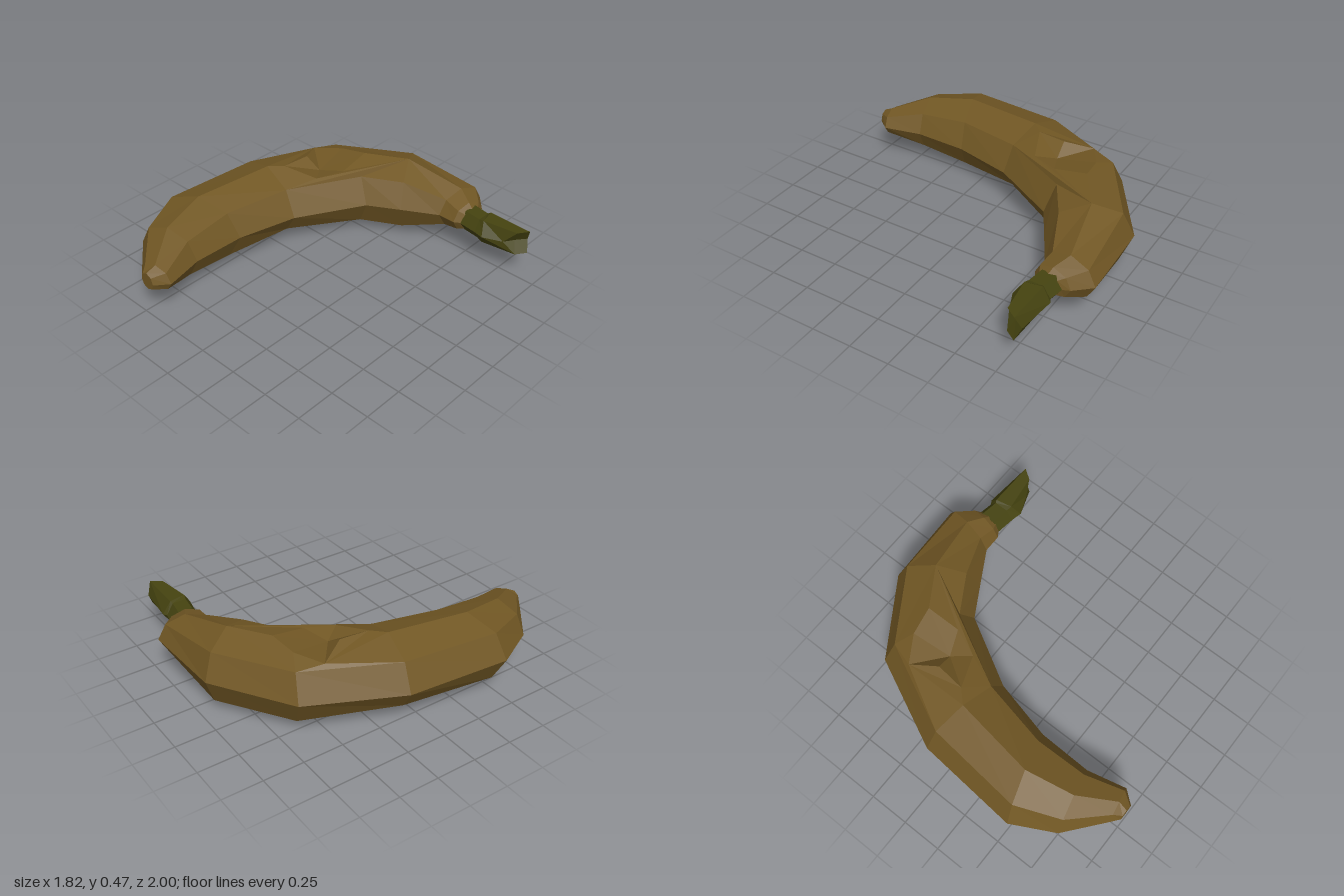
import * as THREE from 'three';

// Cross-section through an outer and an inner point of the bend.
// k = 0 is the outer point, then it runs over the top to the inner point and back below.
function ring(n, [ox, oz, ix, iz, top, bottom, shift = 0], mid = 0.24) {
  const points = [];
  const peak = n === 6 ? Math.sin(Math.PI / 3) : 1;
  for (let k = 0; k < n; k++) {
    const a = (k / n) * Math.PI * 2;
    const c = Math.cos(a), s = Math.sin(a) / peak;
    points.push(new THREE.Vector3(
      (ox + ix) / 2 + c * (ox - ix) / 2 + shift * Math.abs(s),
      mid + s * (s > 0 ? top - mid : mid - bottom),
      (oz + iz) / 2 + c * (oz - iz) / 2
    ));
  }
  return points;
}

// Skin between rings, with optional gaps, and a fan at each end.
function skin(rings, startTip, endTip, isGap = () => false) {
  const tris = [];
  const n = rings[0].length;
  for (let i = 0; i < rings.length - 1; i++) {
    for (let k = 0; k < n; k++) {
      if (isGap(i, k)) continue;
      const j = (k + 1) % n;
      const a = rings[i][k], b = rings[i + 1][k], c = rings[i + 1][j], d = rings[i][j];
      tris.push([a, d, c], [a, c, b]);
    }
  }
  const last = rings[rings.length - 1];
  for (let k = 0; k < n; k++) {
    const j = (k + 1) % n;
    tris.push([startTip, rings[0][j], rings[0][k]], [endTip, last[k], last[j]]);
  }
  return tris;
}

// Turn a triangle so that it faces up.
function facingUp([a, b, c]) {
  const ny = (b.z - a.z) * (c.x - a.x) - (b.x - a.x) * (c.z - a.z);
  return ny < 0 ? [a, c, b] : [a, b, c];
}

function meshOf(tris, material, name) {
  const geometry = new THREE.BufferGeometry().setFromPoints(tris.flat());
  geometry.computeVertexNormals();
  const mesh = new THREE.Mesh(geometry, material);
  mesh.name = name;
  return mesh;
}

export function createModel() {
  const peelMaterial = new THREE.MeshStandardMaterial({ color: 0x715724, flatShading: true });
  peelMaterial.name = 'brown peel';
  const stemMaterial = new THREE.MeshStandardMaterial({ color: 0x454310, flatShading: true });
  stemMaterial.name = 'dark green stem';

  // Curved fruit: outer x, outer z, inner x, inner z, top, bottom
  const body = [
    [-0.50, 1.00, -0.40, 1.00, 0.30, 0.19],
    [-0.55, 0.96, -0.335, 0.92, 0.33, 0.17],
    [-0.78, 0.77, -0.39, 0.68, 0.41, 0.075],
    [-0.915, 0.51, -0.38, 0.35, 0.455, 0.025],
    [-0.86, -0.13, -0.29, -0.02, 0.47, 0.06],
    [-0.60, -0.68, -0.06, -0.43, 0.47, 0.01],
    [-0.13, -0.98, 0.13, -0.54, 0.46, 0.0],
    [0.40, -1.00, 0.34, -0.66, 0.37, 0.115],
    [0.49, -0.90, 0.45, -0.66, 0.335, 0.15],
    [0.51, -0.85, 0.50, -0.69, 0.31, 0.17]
  ].map((r) => ring(8, r));
  const D = body[4], E = body[5], F = body[6];
  const v = (x, y, z) => new THREE.Vector3(x, y, z);
  const peel = skin(body, v(-0.45, 0.245, 1.0), v(0.505, 0.24, -0.77),
    (i, k) => (i === 4 || i === 5) && (k === 1 || k === 2));

  // Top patch around the bruise, then the sunken bruise itself
  const contour = [D[1], D[2], D[3], E[3], F[3], F[2], F[1], E[1]];
  const rim = [
    v(-0.57, 0.425, -0.49), v(-0.41, 0.445, -0.585), v(-0.24, 0.47, -0.61),
    v(-0.23, 0.435, -0.40), v(-0.30, 0.428, -0.23), v(-0.50, 0.47, -0.15),
    v(-0.48, 0.47, -0.33)
  ];
  const flat = (points) => points.map((p) => new THREE.Vector2(p.x, p.z));
  const all = [...contour, ...rim];
  for (const face of THREE.ShapeUtils.triangulateShape(flat(contour), [flat(rim)])) {
    peel.push(facingUp(face.map((i) => all[i])));
  }
  const floor = v(-0.38, 0.405, -0.34);
  const bruise = rim.map((p, i) => facingUp([floor, p, rim[(i + 1) % rim.length]]));

  // Stem with a narrow collar and a notched, slanted end
  const stem = [
    [0.49, -0.86, 0.49, -0.68, 0.31, 0.175],
    [0.605, -0.84, 0.605, -0.665, 0.31, 0.175],
    [0.63, -0.855, 0.67, -0.65, 0.32, 0.165, -0.02],
    [0.88, -0.83, 0.79, -0.70, 0.32, 0.165, 0.05]
  ].map((r) => ring(6, r));

  const model = new THREE.Group();
  model.name = 'banana';
  model.add(
    meshOf(peel, peelMaterial, 'peel'),
    meshOf(bruise, peelMaterial, 'bruise'),
    meshOf(skin(stem, v(0.5, 0.24, -0.77), v(0.83, 0.24, -0.765)), stemMaterial, 'stem')
  );
  return model;
}
